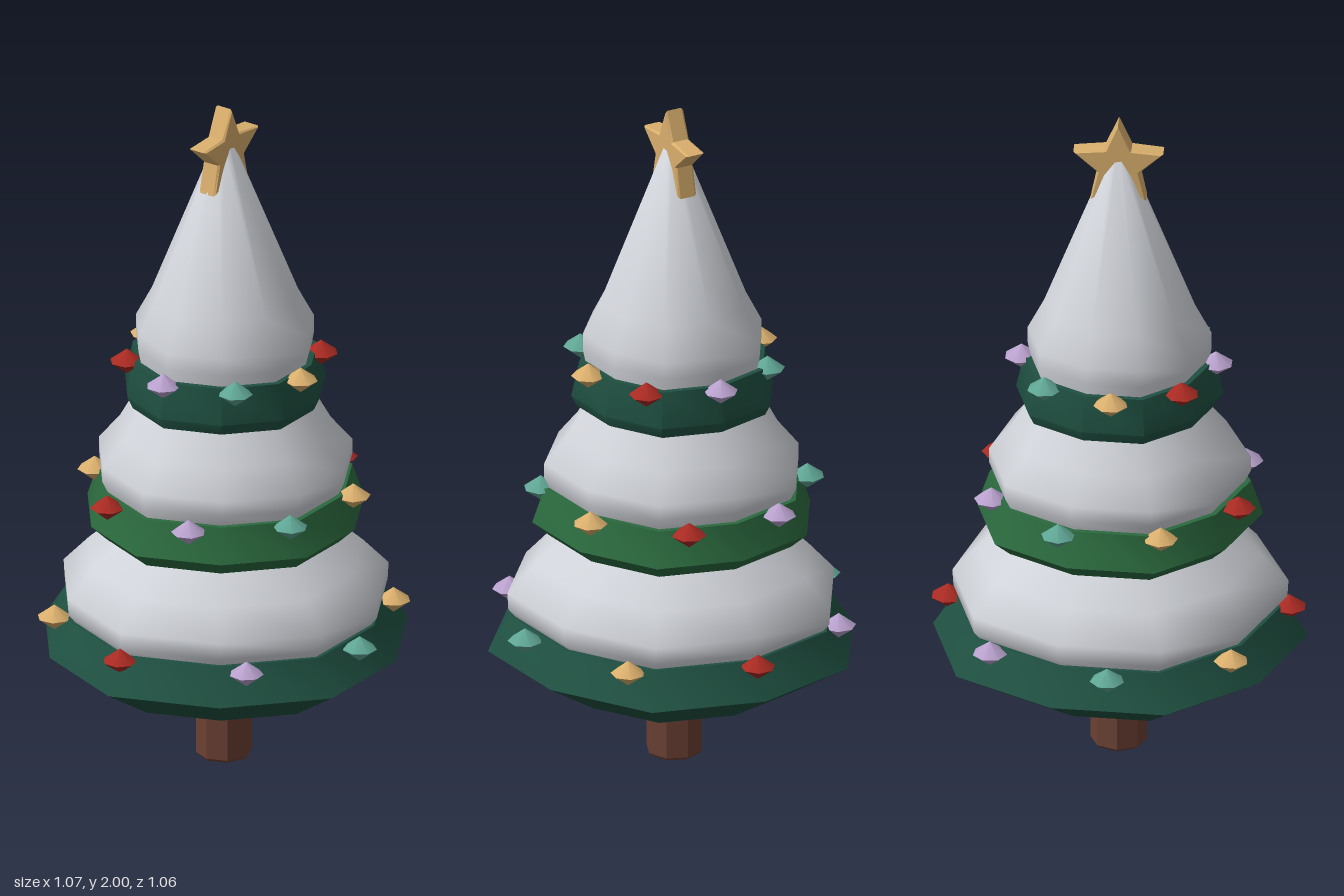
import * as THREE from 'three';
import { mergeVertices, toCreasedNormals } from 'three/addons/utils/BufferGeometryUtils.js';

const SIDES = 10;
// Uneven radius per corner, mirrored front to back
const WOBBLE = [1, 1.03, 0.977, 1.02, 0.977, 1.02];

const material = (name, color) => {
  const m = new THREE.MeshStandardMaterial({ color });
  m.name = name;
  return m;
};

// Ten-sided turned shape with slightly irregular corners
function ring(points, crease) {
  const profile = points.map(([r, y]) => new THREE.Vector2(r, y));
  let g = new THREE.LatheGeometry(profile, SIDES, Math.PI / 2);
  const p = g.attributes.position;
  for (let i = 0; i < p.count; i++) {
    const side = Math.floor(i / profile.length) % SIDES;
    const k = WOBBLE[Math.min(side, SIDES - side)];
    p.setXYZ(i, p.getX(i) * k, p.getY(i), p.getZ(i) * k);
  }
  g.deleteAttribute('uv');
  g.deleteAttribute('normal');
  g = mergeVertices(g, 1e-4);
  return toCreasedNormals(g, crease);
}

export function createModel() {
  const tree = new THREE.Group();
  tree.name = 'snowyTree';

  const pine = material('dark pine green', 0x1f5041);
  const leaf = material('leaf green', 0x2b6a3e);
  const snow = material('snow', 0xcfd2d8);
  const bark = material('bark brown', 0x6a4033);
  const gold = material('gold', 0xd9ae6c);
  const red = material('red', 0xa82a22);
  const teal = material('teal', 0x5fa594);
  const lilac = material('lilac', 0xb8a0cc);
  const baubleColours = [red, gold, teal, lilac];

  const add = (geometry, mat, name, parent = tree) => {
    const mesh = new THREE.Mesh(geometry, mat);
    mesh.name = name;
    parent.add(mesh);
    return mesh;
  };

  // Trunk with a slightly chamfered foot
  const trunk = new THREE.LatheGeometry(
    [[0, 0], [0.075, 0], [0.081, 0.008], [0.081, 0.3]].map(([r, y]) => new THREE.Vector2(r, y)), 8);
  trunk.deleteAttribute('uv');
  add(toCreasedNormals(trunk, 0.5), bark, 'trunk');

  // Branch skirts, snow caps and bauble rings, from bottom to top
  const tiers = [
    {
      green: pine, baubleY: 0.447, baubleR: 0.487,
      skirt: [[0, 0.245], [0.355, 0.245], [0.53, 0.355], [0.465, 0.457], [0.36, 0.457]],
      cap: [[0.44, 0.44], [0.472, 0.48], [0.475, 0.53], [0.4, 0.61], [0.29, 0.71], [0.2, 0.78]],
    },
    {
      green: leaf, baubleY: 0.837, baubleR: 0.382,
      skirt: [[0, 0.7], [0.355, 0.7], [0.404, 0.745], [0.37, 0.847], [0.27, 0.847]],
      cap: [[0.345, 0.83], [0.37, 0.88], [0.37, 0.925], [0.308, 1.0], [0.25, 1.105], [0.2, 1.16]],
    },
    {
      green: pine, baubleY: 1.225, baubleR: 0.278,
      skirt: [[0, 1.097], [0.277, 1.097], [0.293, 1.13], [0.27, 1.235], [0.18, 1.235]],
      cap: [[0.25, 1.22], [0.26, 1.27], [0.26, 1.32], [0.213, 1.41], [0.027, 1.885], [0, 1.9]],
    },
  ];

  // Flattened seven-sided bauble
  let bauble = new THREE.SphereGeometry(0.05, 7, 2);
  bauble.scale(1, 0.76, 1);
  bauble.deleteAttribute('uv');
  bauble = toCreasedNormals(bauble, 0.6);

  tiers.forEach((t, n) => {
    const tier = new THREE.Group();
    tier.name = `tier${n + 1}`;
    tree.add(tier);
    add(ring(t.skirt, 0.75), t.green, 'branches', tier);
    add(ring(t.cap, 1.1), snow, 'snowCap', tier);
    for (let i = 0; i < 8; i++) {
      const a = i * Math.PI / 4 + n * 0.4;
      const b = add(bauble, baubleColours[i % 4], 'bauble', tier);
      b.position.set(Math.cos(a) * t.baubleR, t.baubleY, Math.sin(a) * t.baubleR);
      b.rotation.y = -a;
    }
  });

  // Five-pointed star with a narrow bevel
  const outline = [];
  for (let i = 0; i < 10; i++) {
    const a = Math.PI / 2 + i * Math.PI / 5;
    const r = i % 2 ? 0.058 : 0.128;
    outline.push(new THREE.Vector2(Math.cos(a) * r, Math.sin(a) * r));
  }
  const starShape = new THREE.ExtrudeGeometry(new THREE.Shape(outline), {
    depth: 0.046, bevelEnabled: true, bevelThickness: 0.006, bevelSize: 0.005, bevelSegments: 1,
  });
  starShape.translate(0, 0, -0.023);
  add(starShape, gold, 'star').position.y = 1.86;

  return tree;
}
